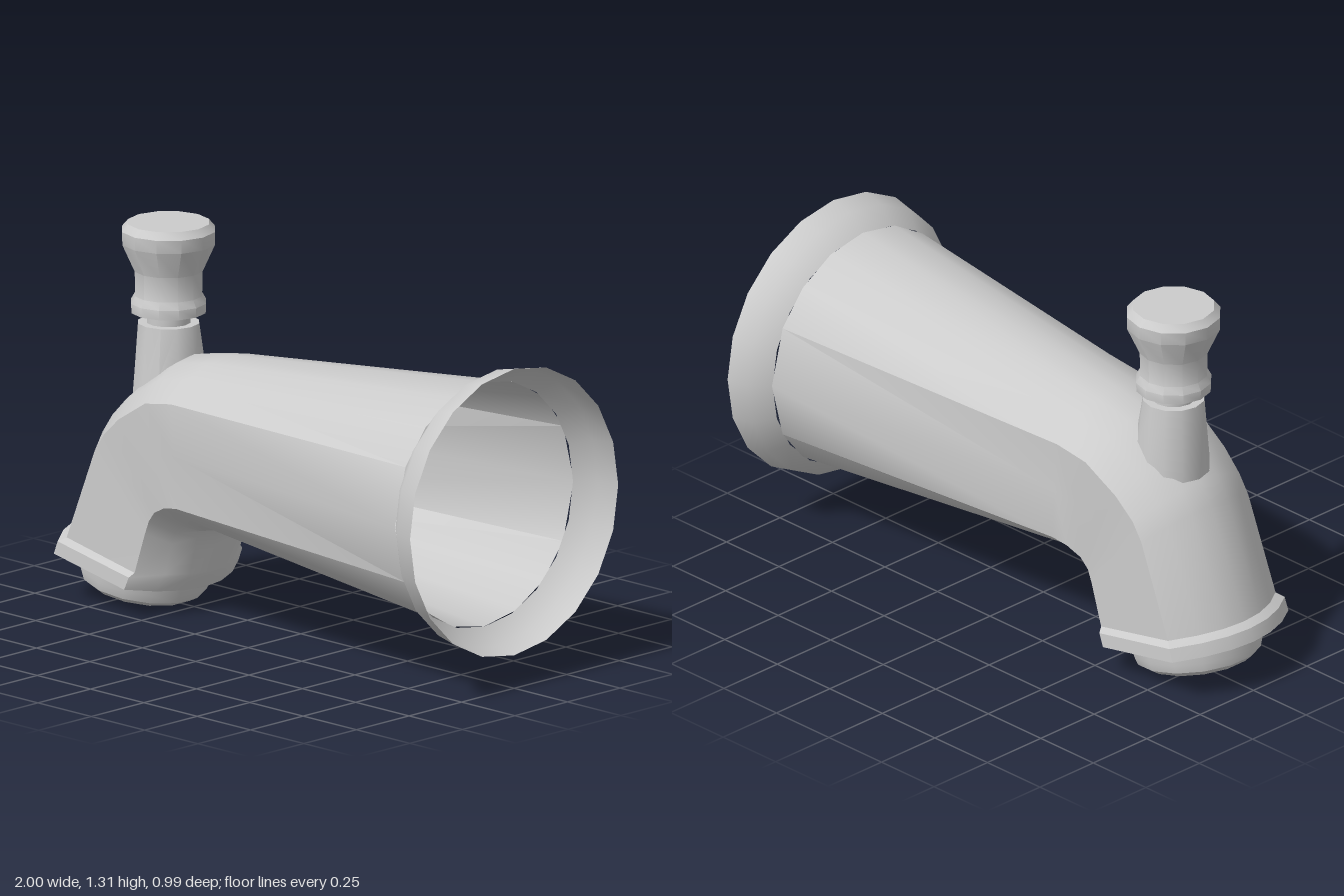
import * as THREE from 'three';
import { toCreasedNormals } from 'three/addons/utils/BufferGeometryUtils.js';

const material = new THREE.MeshStandardMaterial({ color: 0xcccccc, side: THREE.DoubleSide });

function addMesh(parent, name, geometry, crease = 0.6) {
  const mesh = new THREE.Mesh(toCreasedNormals(geometry, crease), material);
  mesh.name = name;
  parent.add(mesh);
  return mesh;
}

function lathe(points, sides) {
  return new THREE.LatheGeometry(points.map(([r, y]) => new THREE.Vector2(r, y)), sides);
}

// Unit section [u, z]: u runs from top (1) to bottom (-1).
// round = 0 gives shallow arcs joined by flat sides, round = 1 a circle.
function section(round) {
  const n = 3, phi = 1.08, points = [];
  const mix = THREE.MathUtils.lerp;
  const arc = (sign) => {
    for (let i = -n; i <= n; i++) {
      const a = i / n;
      points.push([
        sign * mix(1 - 0.4 * a * a, Math.cos(phi * a), round),
        sign * mix(a, Math.sin(phi * a), round),
      ]);
    }
  };
  arc(1);
  points.push([0, 1]);
  arc(-1);
  points.push([0, -1]);
  return points;
}

// Loft through stations [topX, topY, bottomX, bottomY, halfWidth, round]
function loft(stations) {
  const positions = [], index = [];
  let count = 0;
  for (const [tx, ty, bx, by, w, round] of stations) {
    const points = section(round);
    count = points.length;
    for (const [u, z] of points) {
      const t = (1 - u) / 2;
      positions.push(tx + (bx - tx) * t, ty + (by - ty) * t, z * w);
    }
  }
  for (let i = 0; i < stations.length - 1; i++) {
    for (let j = 0; j < count; j++) {
      const a = i * count + j, b = i * count + (j + 1) % count;
      index.push(a, b, b + count, a, b + count, a + count);
    }
  }
  const geometry = new THREE.BufferGeometry();
  geometry.setAttribute('position', new THREE.Float32BufferAttribute(positions, 3));
  geometry.setIndex(index);
  return geometry;
}

export function createModel() {
  const group = new THREE.Group();
  group.name = 'tubSpout';

  // Hollow body: closed outlet face, lip, elbow, then the long flaring barrel
  addMesh(group, 'spoutBody', loft([
    [-0.725, 0.128, -0.725, 0.128, 0, 0],
    [-1.0, 0.18, -0.45, 0.075, 0.272, 0],
    [-0.985, 0.225, -0.43, 0.12, 0.27, 0],
    [-0.955, 0.24, -0.425, 0.135, 0.252, 0],
    [-0.80, 0.62, -0.405, 0.22, 0.25, 0],
    [-0.75, 0.69, -0.395, 0.26, 0.25, 0],
    [-0.66, 0.77, -0.38, 0.285, 0.255, 0],
    [-0.50, 0.87, -0.35, 0.295, 0.265, 0],
    [-0.35, 0.897, -0.31, 0.302, 0.272, 0],
    [0.86, 1.03, 0.86, 0.185, 0.425, 1],
  ]));

  // Flared wall flange, open at the back
  const flange = addMesh(group, 'wallFlange', lathe([
    [0.422, -0.86], [0.478, -0.92], [0.495, -1.0],
  ].reverse(), 20), 0.7);
  flange.rotation.z = Math.PI / 2;
  flange.position.y = 0.606;

  // Tilted nozzle under the outlet
  const nozzle = addMesh(group, 'nozzle', lathe([
    [0, -0.1], [0.185, -0.1], [0.213, -0.08], [0.222, -0.05], [0.222, 0.02],
  ], 14));
  nozzle.position.set(-0.722, 0.128, 0);
  nozzle.rotation.z = -0.18;

  // Diverter stem, its foot slanted to follow the elbow
  const stemX = -0.62;
  const stem = new THREE.CylinderGeometry(0.105, 0.125, 0.26, 12);
  const p = stem.attributes.position;
  for (let i = 0; i < p.count; i++) {
    p.setY(i, p.getY(i) > 0 ? 0.96 : 0.755 + p.getX(i) * 0.72);
  }
  stem.translate(stemX, 0, 0);
  addMesh(group, 'diverterStem', stem);

  // Narrow neck and waisted pull knob
  const neck = addMesh(group, 'diverterNeck', new THREE.CylinderGeometry(0.075, 0.075, 0.06, 12));
  neck.position.set(stemX, 0.98, 0);
  const knob = addMesh(group, 'diverterKnob', lathe([
    [0, 0.997], [0.128, 0.997], [0.13, 1.03], [0.116, 1.055], [0.117, 1.14],
    [0.16, 1.235], [0.161, 1.28], [0.14, 1.305], [0, 1.305],
  ], 12));
  knob.position.x = stemX;

  return group;
}
